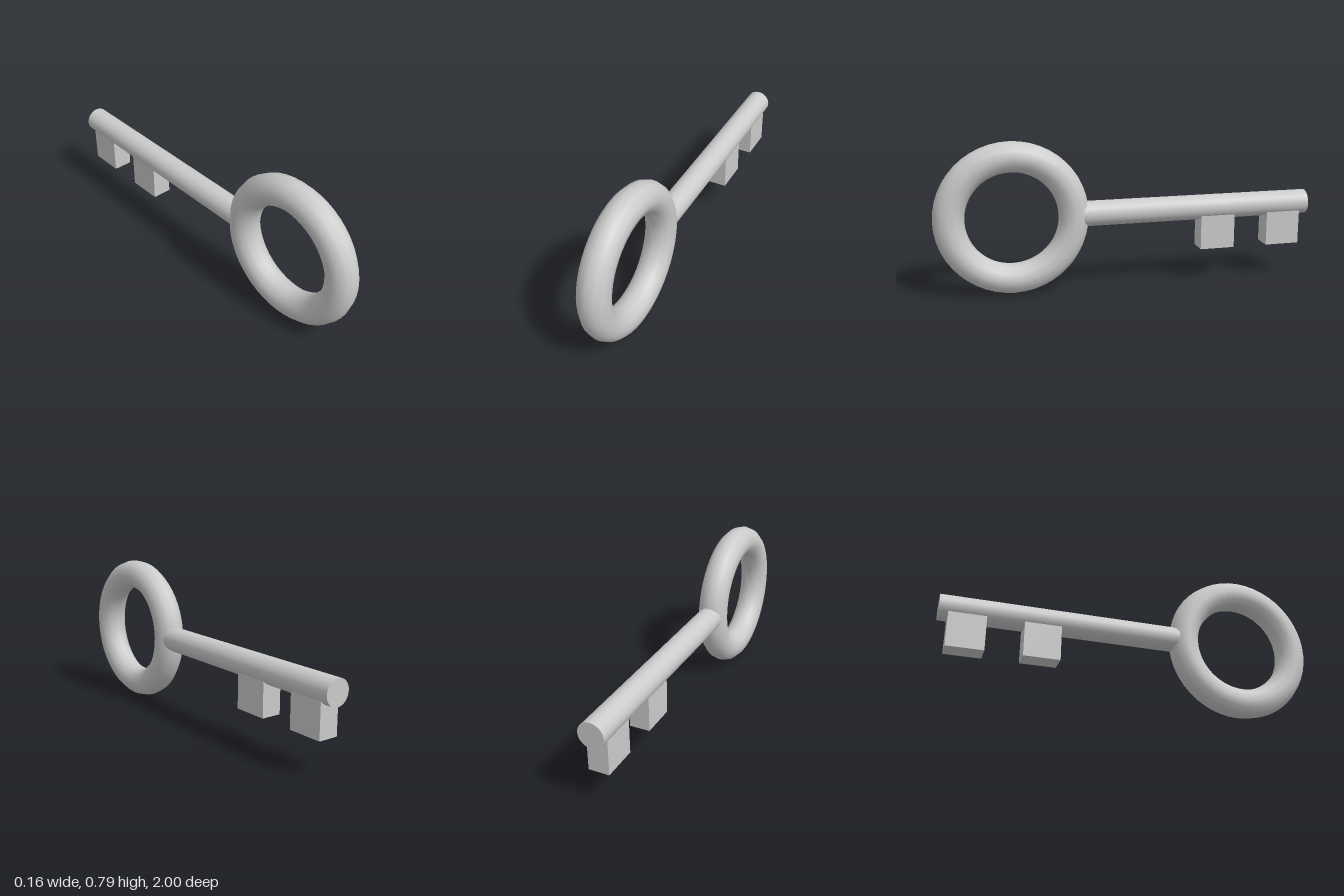
import * as THREE from 'three';

export function createModel() {
  const group = new THREE.Group();
  const material = new THREE.MeshStandardMaterial({ color: 0xcccccc });

  const add = (name, geometry, y, z) => {
    const mesh = new THREE.Mesh(geometry, material);
    mesh.name = name;
    mesh.position.set(0, y, z);
    group.add(mesh);
  };

  // Ring handle, standing in the y-z plane
  add('ringHandle', new THREE.TorusGeometry(0.317, 0.079, 12, 48).rotateY(Math.PI / 2), 0.397, 0.604);

  // Round shaft, its front end buried in the ring
  const shaftBack = -1, shaftFront = 0.27;
  add('shaft',
    new THREE.CylinderGeometry(0.066, 0.066, shaftFront - shaftBack, 32).rotateX(Math.PI / 2),
    0.4, (shaftFront + shaftBack) / 2);

  // Two square teeth hanging below the shaft
  const toothBottom = 0.178, toothTop = 0.385;
  [['innerTooth', -0.485], ['outerTooth', -0.86]].forEach(([name, z]) =>
    add(name, new THREE.BoxGeometry(0.106, toothTop - toothBottom, 0.188), (toothTop + toothBottom) / 2, z));

  return group;
}
